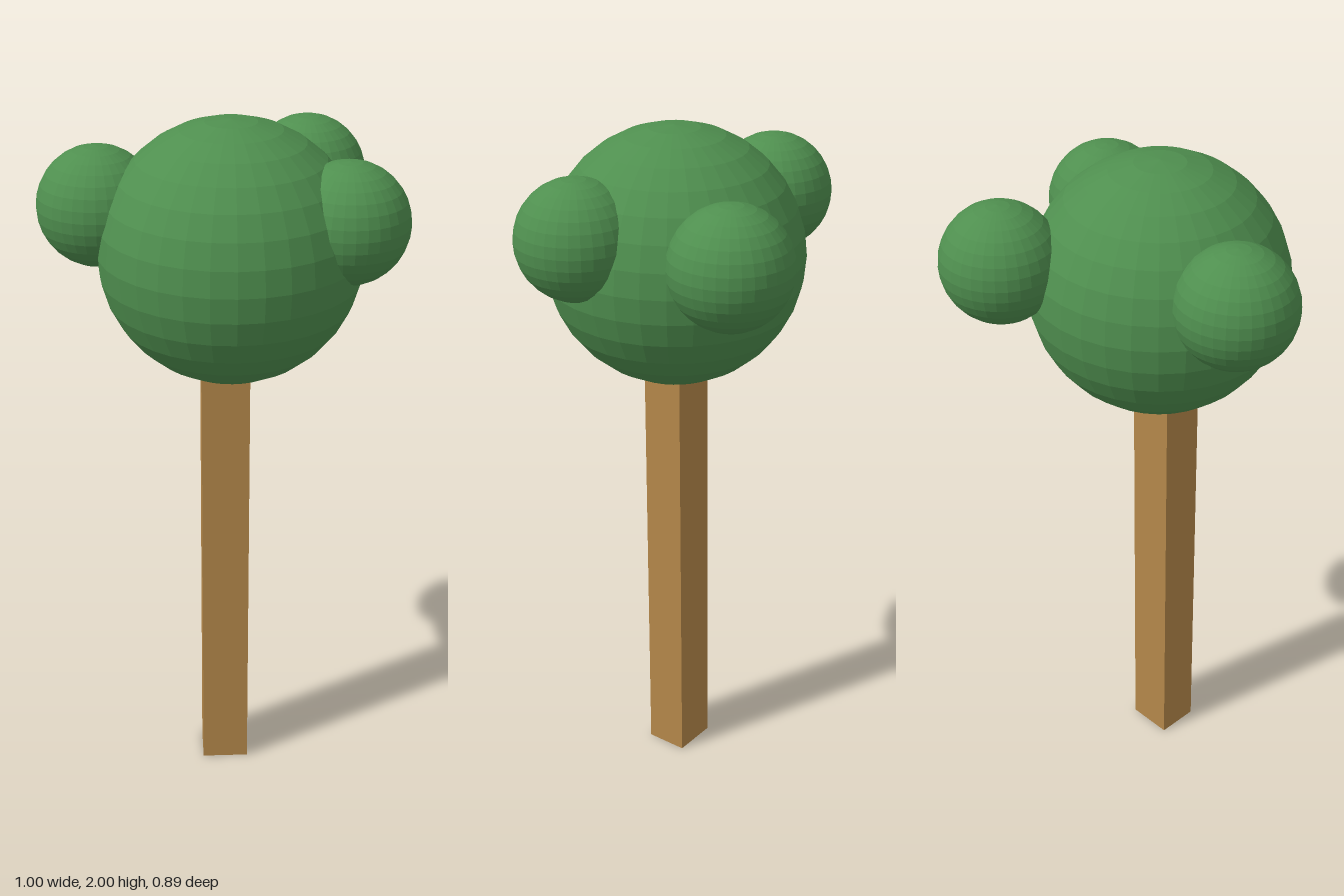
import * as THREE from 'three';

const leafMaterial = new THREE.MeshStandardMaterial({ color: 0x4f8f4f, flatShading: true });
const woodMaterial = new THREE.MeshStandardMaterial({ color: 0xb5884a, flatShading: true });

function ball(name, radius, x, y, z) {
  const mesh = new THREE.Mesh(new THREE.SphereGeometry(radius, 32, 16), leafMaterial);
  mesh.name = name;
  mesh.position.set(x, y, z);
  return mesh;
}

export function createModel() {
  const tree = new THREE.Group();
  tree.name = 'tree';

  // Square trunk, its top sunk into the crown
  const trunkHeight = 1.36;
  const trunk = new THREE.Mesh(new THREE.BoxGeometry(0.135, trunkHeight, 0.125), woodMaterial);
  trunk.name = 'trunk';
  trunk.position.set(0.01, trunkHeight / 2, 0.093);
  tree.add(trunk);

  // Large round crown
  tree.add(ball('crown', 0.364, 0.026, 1.636, 0.08));

  // Three small leaf clumps around the crown
  const clumps = [
    ['rightClump', -0.334, 0],
    ['backClump', 0.264, -0.28],
    ['leftClump', 0.333, 0.175],
  ];
  for (const [name, x, z] of clumps) tree.add(ball(name, 0.167, x, 1.743, z));

  return tree;
}
